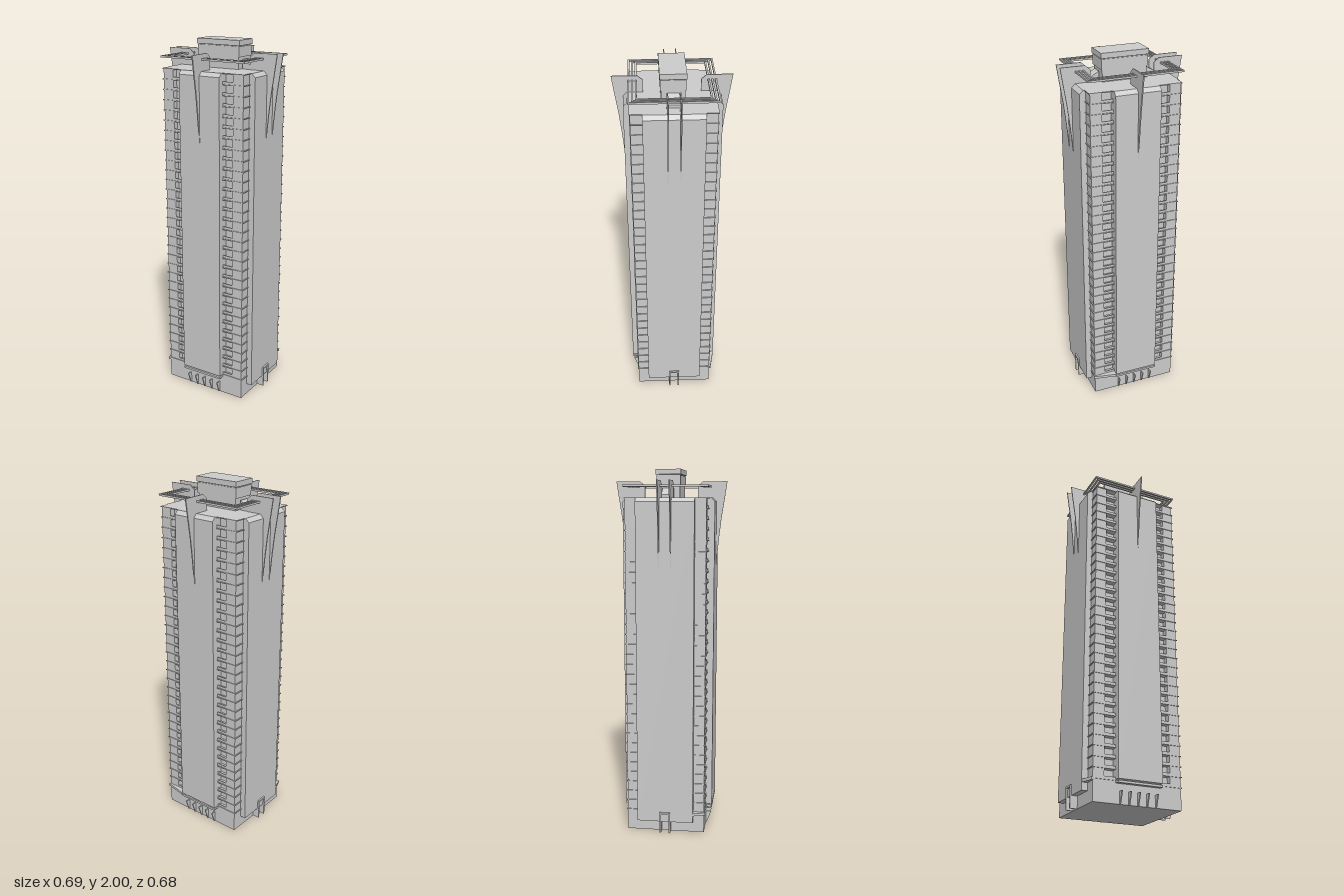
import * as THREE from 'three';

const mat = new THREE.MeshStandardMaterial({ color: 0xcccccc, flatShading: true, side: THREE.DoubleSide });
const ROOF = 1.85, BASE = 0.12, FLOORS = 31;
const STEP = (ROOF - BASE) / FLOORS;

function add(parent, name, geometry, x = 0, y = 0, z = 0) {
  const mesh = new THREE.Mesh(geometry, mat);
  mesh.name = name;
  mesh.position.set(x, y, z);
  parent.add(mesh);
  return mesh;
}
const box = (parent, name, w, h, d, x, y, z) => add(parent, name, new THREE.BoxGeometry(w, h, d), x, y, z);
const outline = pts => new THREE.Shape(pts.map(p => new THREE.Vector2(...p)));

// Plan outline in (x, z), extruded upwards from y0 to y1
function plan(parent, name, shape, y0, y1) {
  const g = new THREE.ExtrudeGeometry(shape, { depth: y1 - y0, bevelEnabled: false });
  return add(parent, name, g.rotateX(Math.PI / 2), 0, y1, 0);
}

// Side profile in (x, y), extruded sideways and centred on z
function profile(parent, name, pts, width, z = 0) {
  const g = new THREE.ExtrudeGeometry(outline(pts), { depth: width, bevelEnabled: false });
  return add(parent, name, g, 0, 0, z - width / 2);
}

const rect = (a, b) => [[-a, -b], [a, -b], [a, b], [-a, b]];

function ring(parent, name, a, b, t, y0, y1) {
  const s = outline(rect(a, b));
  s.holes.push(outline(rect(a - t, b - t)));
  return plan(parent, name, s, y0, y1);
}

// Curved blade standing on a facade; o shifts it towards the core
function blade(parent, z, o) {
  const pts = [[0.177, 1.84], [0.177, 1.915], [0.205, 1.938], [0.338, 1.938], [0.325, 1.85],
    [0.308, 1.74], [0.296, 1.64], [0.287, 1.55], [0.281, 1.48], [0.26, 1.48], [0.24, 1.84]];
  profile(parent, 'roofBlade', pts.map(([x, y]) => [x - o, y]), 0.006, z);
}

function facade(tower, name, angle, wide) {
  const side = new THREE.Group();
  side.name = name;
  side.rotation.y = angle;
  tower.add(side);
  const inner = wide ? 0.24 : 0.18, outer = wide ? 0.281 : 0.25;
  const width = wide ? 0.312 : 0.25, foot = wide ? 0.065 : BASE;
  // Blank wall panel with a sloping top
  profile(side, 'wallPanel', [[inner, foot], [outer, foot], [outer, 1.83], [outer - 0.02, ROOF], [inner, ROOF]], width);
  if (wide) {
    // Twin blades and the entrance posts below them
    for (const s of [-1, 1]) {
      blade(side, s * 0.032, 0);
      profile(side, 'entrancePost', [[0.24, 0], [0.288, 0], [0.29, 0.12], [0.24, 0.12]], 0.008, s * 0.026);
    }
    box(side, 'entranceLintel', 0.05, 0.01, 0.06, 0.265, 0.115, 0);
  } else {
    blade(side, 0, 0.03);
    // Ground floor canopy on triangular brackets
    profile(side, 'canopy', [[0.2, 0.105], [outer, 0.1], [outer, 0.112], [0.2, BASE]], width);
    for (let i = 0; i < 5; i++) {
      profile(side, 'canopyBracket', [[0.21, 0], [0.222, 0], [0.245, 0.065], [0.21, 0.065]], 0.006, -0.1 + i * 0.05);
    }
  }
  return side;
}

export function createModel() {
  const model = new THREE.Group();
  model.name = 'towerBlock';
  const tower = new THREE.Group();
  tower.name = 'tower';
  tower.rotation.y = -THREE.MathUtils.degToRad(40);
  model.add(tower);

  // Main body with a balcony recess on both sides of each narrow panel
  const A = 0.248, B = 0.216, R = 0.186;
  const edge = [[-A, -B], [-R, -B], [-R, -R], [-0.122, -R], [-0.122, -B],
    [0.122, -B], [0.122, -R], [R, -R], [R, -B], [A, -B]];
  const body = outline([...edge, ...edge.map(([x, z]) => [-x, -z])]);
  plan(tower, 'body', body, BASE, ROOF);
  plan(tower, 'groundFloor', outline(rect(A, B)), 0, BASE);

  // Floor edges and balcony parapets
  for (let i = 0; i <= FLOORS; i++) {
    const y = BASE + i * STEP;
    box(tower, 'floorSlab', 0.507, 0.005, 0.44, 0, y - 0.0025, 0);
    if (i === FLOORS) break;
    for (const sx of [-1, 1]) for (const sz of [-1, 1]) {
      box(tower, 'balconyParapet', 0.064, 0.013, 0.005, sx * 0.154, y + 0.0065, sz * 0.2135);
    }
  }

  // Four facades
  facade(tower, 'wideFacadeFront', 0, true);
  facade(tower, 'wideFacadeBack', Math.PI, true);
  facade(tower, 'narrowFacadeFront', -Math.PI / 2, false);
  facade(tower, 'narrowFacadeBack', Math.PI / 2, false);

  // Tapered corner canopies above the ground floor
  plan(tower, 'cornerCanopy', outline([[0.12, -0.2], [0.128, -0.25], [0.257, -0.224], [0.24, -0.2]]), 0.105, BASE);
  plan(tower, 'cornerCanopy', outline([[-0.23, 0.15], [-0.28, 0.155], [-0.257, 0.224], [-0.23, 0.21]]), 0.105, BASE);

  // Roof crown: three rails carried by the blades
  for (let i = 0; i < 3; i++) {
    const d = i * 0.0185;
    ring(tower, 'roofRail', 0.2585 - d, 0.225 - d, 0.009, 1.905, 1.915);
  }

  // Roof house with an overhanging cap
  box(tower, 'roofHouse', 0.246, 0.12, 0.122, 0, 1.91, 0);
  box(tower, 'roofHouseBand', 0.256, 0.055, 0.13, 0, 1.94, 0);
  box(tower, 'roofHouseCap', 0.264, 0.028, 0.136, 0, 1.986, 0);

  // Low sloping vents beside the twin blades
  for (const s of [-1, 1]) {
    const pts = [[s * 0.13, ROOF], [s * 0.19, ROOF], [s * 0.19, 1.865], [s * 0.13, 1.9]];
    profile(tower, 'roofVent', s > 0 ? pts : pts.reverse(), 0.06);
  }
  return model;
}
